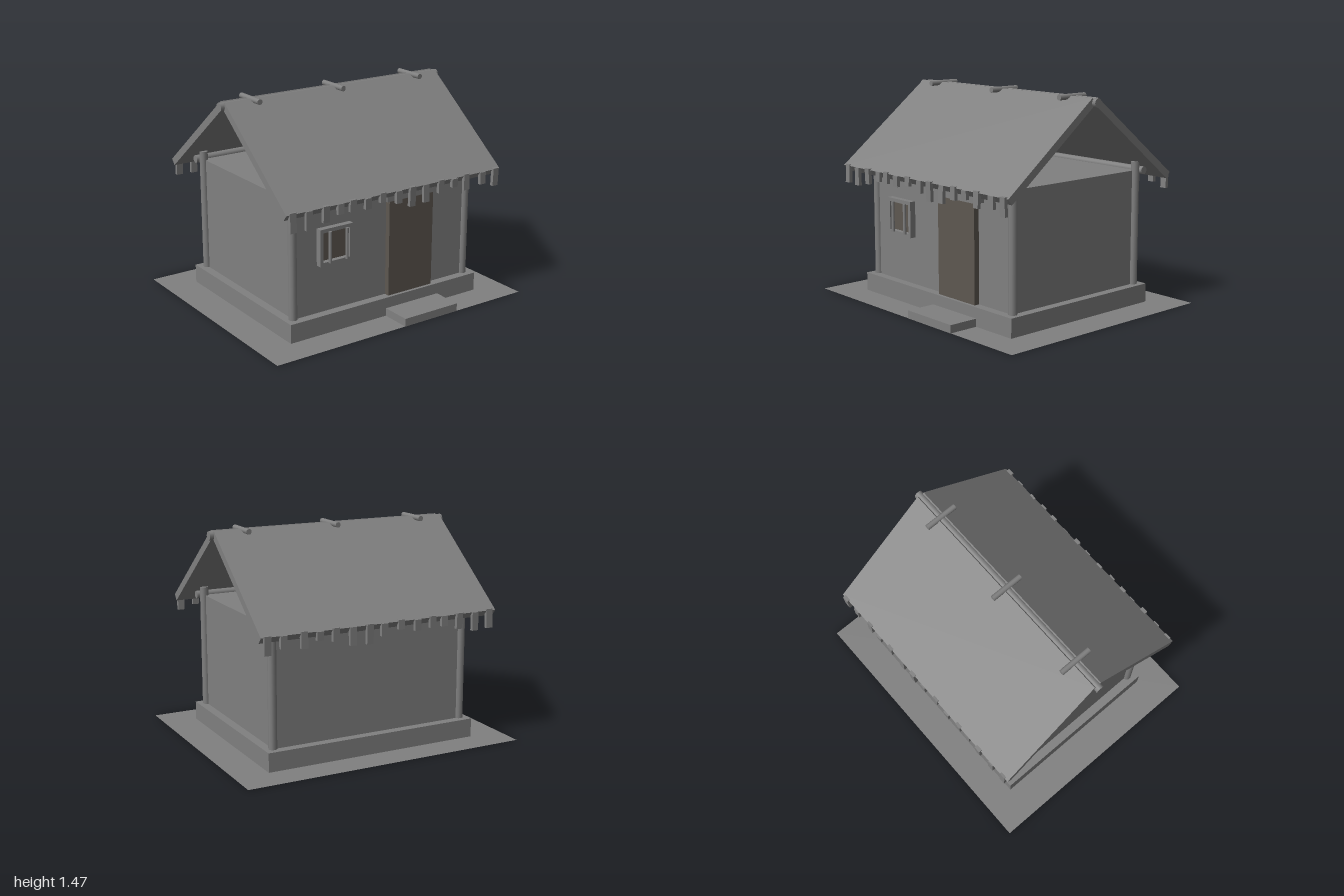
import * as THREE from 'three';

export function createModel() {
  const model = new THREE.Group();
  model.name = 'hut';

  const clay = new THREE.MeshStandardMaterial({ color: 0x808080 });
  clay.name = 'clayGrey';
  const wood = new THREE.MeshStandardMaterial({ color: 0x5e5851 });
  wood.name = 'darkWood';
  const earth = new THREE.MeshStandardMaterial({ color: 0x808080, side: THREE.DoubleSide });
  earth.name = 'groundGrey';

  const add = (name, geometry, material = clay) => {
    const mesh = new THREE.Mesh(geometry, material);
    mesh.name = name;
    model.add(mesh);
    return mesh;
  };
  // Box from its minimum and maximum corners
  const box = (name, [x0, y0, z0], [x1, y1, z1], material) => {
    const mesh = add(name, new THREE.BoxGeometry(x1 - x0, y1 - y0, z1 - z0), material);
    mesh.position.set((x0 + x1) / 2, (y0 + y1) / 2, (z0 + z1) / 2);
    return mesh;
  };
  // Round pole along one axis, centred on a point
  const pole = (name, axis, radius, length, x, y, z) => {
    const geometry = new THREE.CylinderGeometry(radius, radius, length, 10);
    if (axis === 'x') geometry.rotateZ(Math.PI / 2);
    if (axis === 'z') geometry.rotateX(Math.PI / 2);
    const mesh = add(name, geometry);
    mesh.position.set(x, y, z);
    return mesh;
  };

  // Ground, plinth and doorstep
  add('ground', new THREE.PlaneGeometry(2, 1.67).rotateX(-Math.PI / 2), earth).position.y = 0.001;
  box('plinth', [-0.765, 0, -0.625], [0.765, 0.13, 0.625]);
  box('doorstep', [-0.01, 0, 0.62], [0.43, 0.055, 0.835]);

  // Walls, corner posts and wall plates
  box('walls', [-0.705, 0.13, -0.565], [0.705, 0.92, 0.565]);
  for (const sz of [1, -1]) {
    for (const sx of [1, -1]) pole('cornerPost', 'y', 0.029, 0.85, sx * 0.705, 0.555, sz * 0.558);
    pole('wallPlate', 'x', 0.027, 1.5, 0, 0.92, sz * 0.597);
  }

  // Door and lintel
  box('door', [0.025, 0.13, 0.56], [0.39, 0.805, 0.603], wood);
  box('lintel', [-0.02, 0.805, 0.56], [0.44, 0.865, 0.635]);

  // Window: frame ring, dark pane and two bars
  const frame = new THREE.Shape([[-0.127, -0.125], [0.127, -0.125], [0.127, 0.125], [-0.127, 0.125]]
    .map(p => new THREE.Vector2(...p)));
  frame.holes.push(new THREE.Path([[-0.102, -0.1], [-0.102, 0.1], [0.102, 0.1], [0.102, -0.1]]
    .map(p => new THREE.Vector2(...p))));
  add('windowFrame', new THREE.ExtrudeGeometry(frame, { depth: 0.045, bevelEnabled: false }))
    .position.set(-0.398, 0.585, 0.562);
  box('windowPane', [-0.5, 0.485, 0.565], [-0.296, 0.685, 0.573], wood);
  for (const x of [-0.455, -0.325]) pole('windowBar', 'y', 0.011, 0.21, x, 0.585, 0.616);

  // Roof slabs, given as a sloping section across z and y
  const eave = new THREE.Vector2(0.735, 0.908), top = new THREE.Vector2(0.025, 1.462);
  const slope = eave.clone().sub(top).normalize();
  const drop = new THREE.Vector2(slope.y, -slope.x).multiplyScalar(0.05);
  const section = new THREE.Shape([top, top.clone().add(drop), eave.clone().add(drop), eave]);
  for (const side of [1, -1]) {
    const slab = new THREE.ExtrudeGeometry(section, { depth: 1.716, bevelEnabled: false });
    slab.translate(0, 0, -0.858).rotateY(-side * Math.PI / 2);
    add(side > 0 ? 'frontRoof' : 'backRoof', slab);
  }

  // Ridge pole and cross sticks
  pole('ridgePole', 'x', 0.03, 1.77, 0, 1.43, 0);
  for (const x of [-0.65, 0, 0.65]) pole('ridgeStick', 'z', 0.019, 0.23, x, 1.455, 0);

  // Ragged thatch strips hanging along both eaves
  const stripEnds = [0.79, 0.785, 0.81, 0.84, 0.84, 0.835, 0.855, 0.825, 0.785, 0.79, 0.83, 0.85, 0.81, 0.825, 0.795];
  const stripX = [-0.81, -0.695, -0.57, -0.457, -0.366, -0.25, -0.13, -0.003, 0.104, 0.222, 0.345, 0.457, 0.564, 0.705, 0.816];
  for (const side of [1, -1]) {
    stripX.forEach((x, i) => {
      const z = side * (0.728 + 0.003 * (i % 3));
      box('thatchStrip', [x - 0.023, stripEnds[i], z - 0.012], [x + 0.023, 0.918 - 0.01 * (i % 2), z + 0.012])
        .rotation.x = side * 0.04 * ((i % 3) - 1);
    });
  }
  return model;
}
